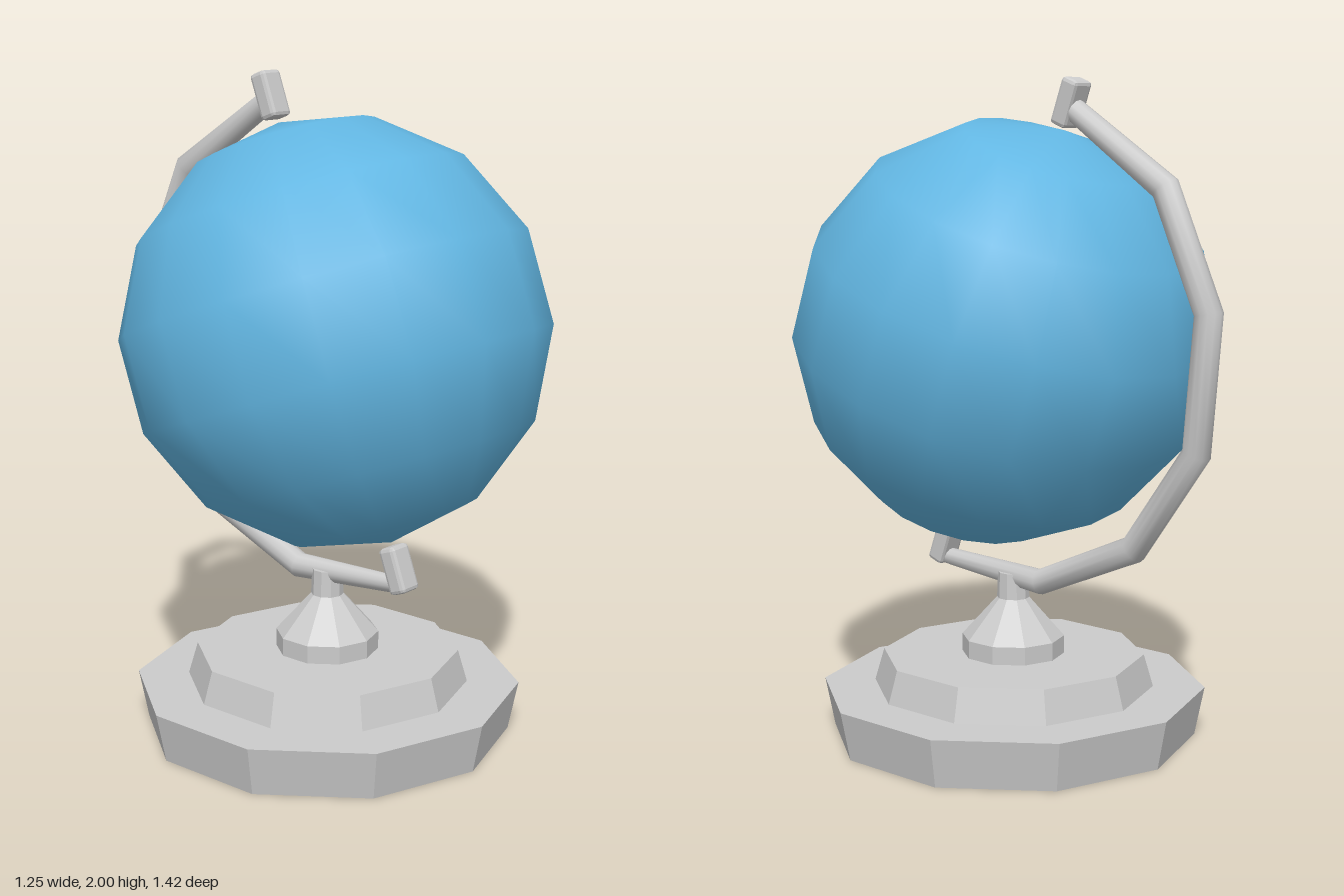
import * as THREE from 'three';
import { RoundedBoxGeometry } from 'three/addons/geometries/RoundedBoxGeometry.js';

const TILT = THREE.MathUtils.degToRad(-20);
const BASE_Z = 0.052;

// Round bar swept along stations [z, y, radius] in the x = 0 plane, mitred at the bends
function sweptBar(stations, sides) {
  const pts = stations.map(([z, y]) => new THREE.Vector2(z, y));
  const pos = [], index = [];
  const last = pts.length - 1;
  pts.forEach((p, i) => {
    const before = pts[i].clone().sub(pts[Math.max(i - 1, 0)]).normalize();
    const after = pts[Math.min(i + 1, last)].clone().sub(p).normalize();
    const dir = before.clone().add(after).normalize();
    const mitre = i > 0 && i < last ? 1 / dir.dot(after) : 1;
    const r = stations[i][2];
    for (let k = 0; k < sides; k++) {
      const a = (k / sides) * Math.PI * 2;
      const s = Math.sin(a) * r * mitre;
      pos.push(Math.cos(a) * r, p.y + dir.x * s, p.x - dir.y * s);
      if (i < last) {
        const a0 = i * sides + k, a1 = i * sides + (k + 1) % sides;
        index.push(a0, a1, a0 + sides, a1, a1 + sides, a0 + sides);
      }
    }
  });
  // End caps
  for (let k = 1; k < sides - 1; k++) {
    const e = last * sides;
    index.push(0, k + 1, k, e, e + k, e + k + 1);
  }
  const g = new THREE.BufferGeometry();
  g.setAttribute('position', new THREE.Float32BufferAttribute(pos, 3));
  g.setIndex(index);
  g.computeVertexNormals();
  return g;
}

export function createModel() {
  const model = new THREE.Group();
  model.name = 'deskGlobe';
  const flatGrey = new THREE.MeshStandardMaterial({ color: 0xcccccc, flatShading: true });
  const smoothGrey = new THREE.MeshStandardMaterial({ color: 0xcccccc });
  const blue = new THREE.MeshStandardMaterial({ color: 0x62b6e2 });

  const add = (name, geometry, material, x, y, z) => {
    const mesh = new THREE.Mesh(geometry, material);
    mesh.name = name;
    mesh.position.set(x, y, z);
    model.add(mesh);
    return mesh;
  };

  // Stepped ten-sided foot
  add('lowerBase', new THREE.CylinderGeometry(0.592, 0.562, 0.15, 10), flatGrey, 0, 0.075, BASE_Z);
  add('upperBase', new THREE.CylinderGeometry(0.404, 0.433, 0.1, 10), flatGrey, 0, 0.2, BASE_Z);

  // Collar, cone and neck in one turned profile
  const profile = [[0.158, 0.25], [0.158, 0.305], [0.05, 0.425], [0.047, 0.505], [0, 0.505]]
    .map(([r, y]) => new THREE.Vector2(r, y));
  add('pedestal', new THREE.LatheGeometry(profile, 10), flatGrey, 0, 0, BASE_Z);

  // Ball, tilted on its axis
  const ball = add('ball', new THREE.SphereGeometry(0.643, 17, 7, -Math.PI / 2), blue, 0, 1.244, 0.081);
  ball.rotation.x = TILT;

  // Curved arm behind the ball
  add('arm', sweptBar([
    [0.33, 0.513, 0.026], [-0.06, 0.49, 0.038], [-0.414, 0.645, 0.041], [-0.633, 0.952, 0.041],
    [-0.668, 1.348, 0.041], [-0.515, 1.69, 0.041], [-0.18, 1.91, 0.034],
  ], 12), smoothGrey, 0, 0, 0);

  // Pivot blocks at both ends of the axis
  [['topPivot', 1.927, -0.172], ['bottomPivot', 0.563, 0.33]].forEach(([name, y, z]) => {
    const block = add(name, new RoundedBoxGeometry(0.08, 0.142, 0.058, 1, 0.012), flatGrey, 0, y, z);
    block.rotation.x = TILT;
  });

  return model;
}
